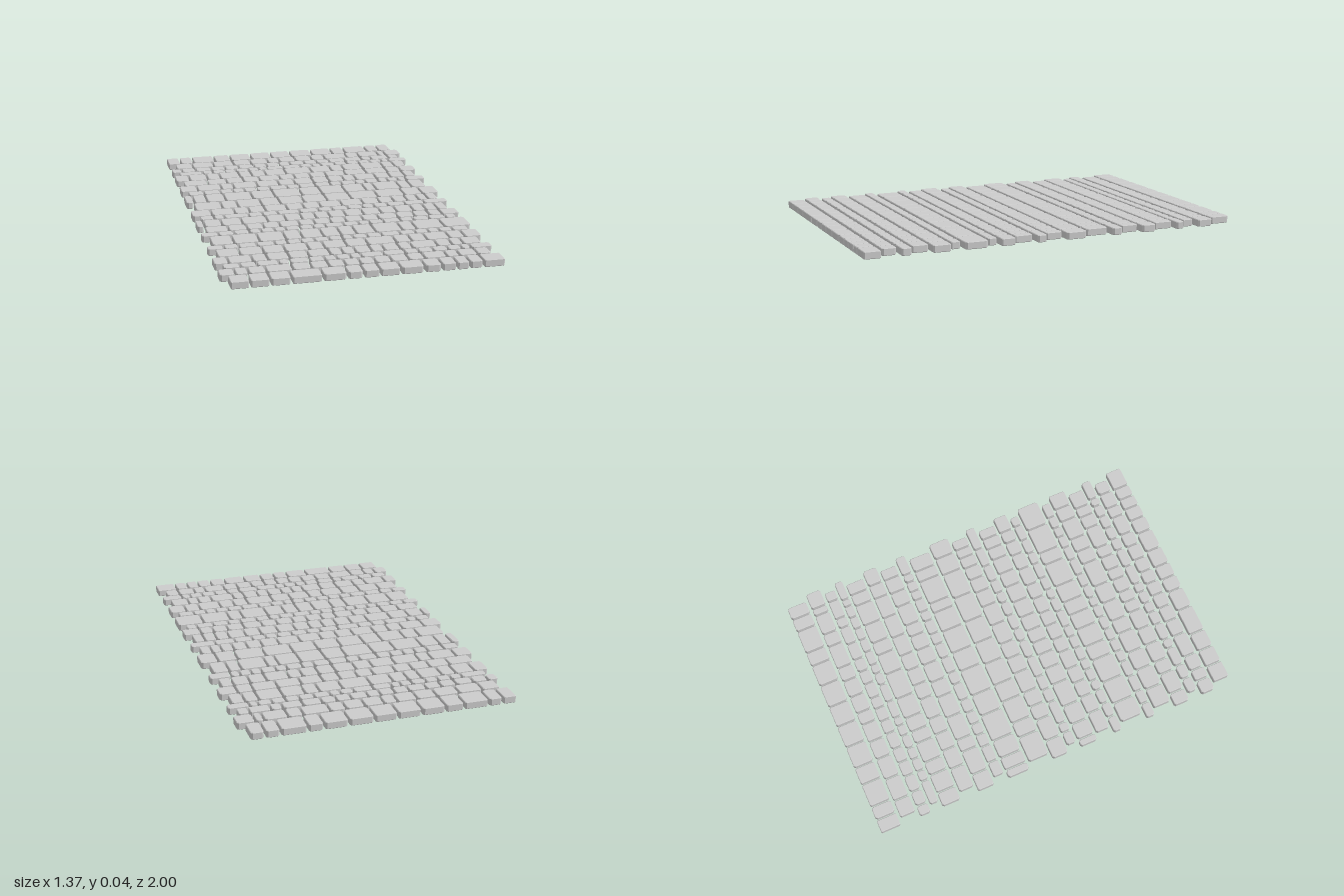
import * as THREE from 'three';

const HEIGHT = 0.037, BEVEL = 0.003, JOINT = 0.011, ROW_LENGTH = 1.335 + JOINT;
const material = new THREE.MeshStandardMaterial({ color: 0xcccccc, flatShading: true });

// One paving stone: rectangle with clipped corners and softened rims
function stoneGeometry(width, depth, cut) {
  const x = width / 2 - BEVEL, z = depth / 2 - BEVEL;
  const shape = new THREE.Shape([
    [-x + cut, -z], [x - cut, -z], [x, -z + cut], [x, z - cut],
    [x - cut, z], [-x + cut, z], [-x, z - cut], [-x, -z + cut],
  ].map(([a, b]) => new THREE.Vector2(a, b)));
  return new THREE.ExtrudeGeometry(shape, {
    depth: HEIGHT - 2 * BEVEL, bevelEnabled: true, bevelSegments: 1,
    bevelSize: BEVEL, bevelThickness: BEVEL,
  }).rotateX(-Math.PI / 2).translate(0, BEVEL, 0);
}

export function createModel() {
  const paving = new THREE.Group();
  paving.name = 'stonePaving';
  let seed = 7;
  const random = () => (seed = (seed * 16807) % 2147483647) / 2147483647;
  let rowCount = 0;

  // A course of stones between two z lines, sharing its length by proportion;
  // alternate courses are shifted sideways
  function course(zBack, zFront, ...proportions) {
    const row = new THREE.Group();
    row.name = `course${rowCount + 1}`;
    const total = proportions.reduce((a, b) => a + b, 0);
    let x = (rowCount++ % 2 ? -0.65 : -0.685) - JOINT / 2;
    for (const p of proportions) {
      const step = (p / total) * ROW_LENGTH;
      const stone = new THREE.Mesh(
        stoneGeometry(step - JOINT, zFront - zBack, 0.003 + 0.006 * random()), material);
      stone.name = 'pavingStone';
      stone.position.set(x + step / 2, 0, (zBack + zFront) / 2);
      row.add(stone);
      x += step;
    }
    paving.add(row);
  }

  // Courses from the back edge to the front edge
  course(-1, -0.895, 14, 14, 24, 18, 23, 23, 22, 24, 23, 15, 25, 14, 14);
  course(-0.88, -0.8, 18, 23, 22, 19, 19, 13, 18, 18, 15, 25, 14, 22, 8, 18);
  course(-0.785, -0.728, 11, 15, 17, 15, 15, 17, 14, 14, 12, 16, 14, 14, 18, 19, 11, 20, 11);
  course(-0.715, -0.672, 25, 11, 13, 12, 14, 11, 9, 18, 19, 13, 10, 15, 14, 13, 13, 13, 8, 21);
  course(-0.66, -0.563, 15, 19, 14, 21, 13, 15, 22, 28, 22, 14, 21, 23, 13, 13);
  course(-0.55, -0.473, 25, 20, 18, 17, 22, 16, 17, 17, 21, 23, 23, 15, 18);
  course(-0.46, -0.373, 18, 25, 13, 25, 23, 17, 20, 17, 16, 13, 22, 16, 16, 12);
  course(-0.358, -0.305, 16, 17, 13, 12, 13, 14, 18, 13, 17, 16, 12, 15, 11, 14, 10, 11, 9, 21);
  course(-0.29, -0.173, 9, 13, 19, 28, 23, 28, 21, 25, 22, 11, 26, 12, 16);
  course(-0.158, -0.05, 27, 16, 24, 19, 24, 24, 25, 28, 28, 19, 18);
  course(-0.038, 0.048, 20, 23, 15, 16, 22, 17, 17, 22, 22, 17, 15, 14, 12, 10, 11);
  course(0.06, 0.108, 14, 10, 24, 14, 15, 22, 19, 14, 16, 15, 12, 14, 18, 20, 25);
  course(0.123, 0.215, 8, 17, 20, 25, 18, 16, 14, 14, 16, 18, 18, 16, 17, 13, 12, 11);
  course(0.228, 0.3, 22, 18, 16, 16, 19, 15, 16, 15, 17, 16, 19, 17, 15, 13, 18);
  course(0.313, 0.358, 17, 15, 15, 11, 13, 11, 14, 13, 12, 18, 15, 11, 14, 17, 13, 16, 17, 11);
  course(0.372, 0.49, 21, 24, 25, 16, 20, 17, 15, 19, 26, 14, 28, 27);
  course(0.505, 0.55, 16, 14, 17, 17, 12, 13, 13, 14, 13, 10, 14, 14, 18, 15, 13, 11, 13, 16);
  course(0.563, 0.655, 21, 22, 20, 22, 15, 21, 20, 27, 15, 15, 22, 15, 17);
  course(0.668, 0.75, 14, 22, 14, 20, 18, 20, 12, 12, 15, 12, 15, 12, 24, 14, 11, 18);
  course(0.763, 0.813, 16, 15, 20, 10, 18, 14, 11, 13, 10, 21, 20, 13, 14, 14, 13, 9, 21);
  course(0.827, 0.9, 15, 12, 16, 24, 17, 16, 15, 14, 14, 15, 16, 15, 21, 12, 17, 14);
  course(0.915, 1, 18, 18, 19, 28, 22, 15, 15, 19, 22, 16, 14, 12, 13, 21);
  return paving;
}
